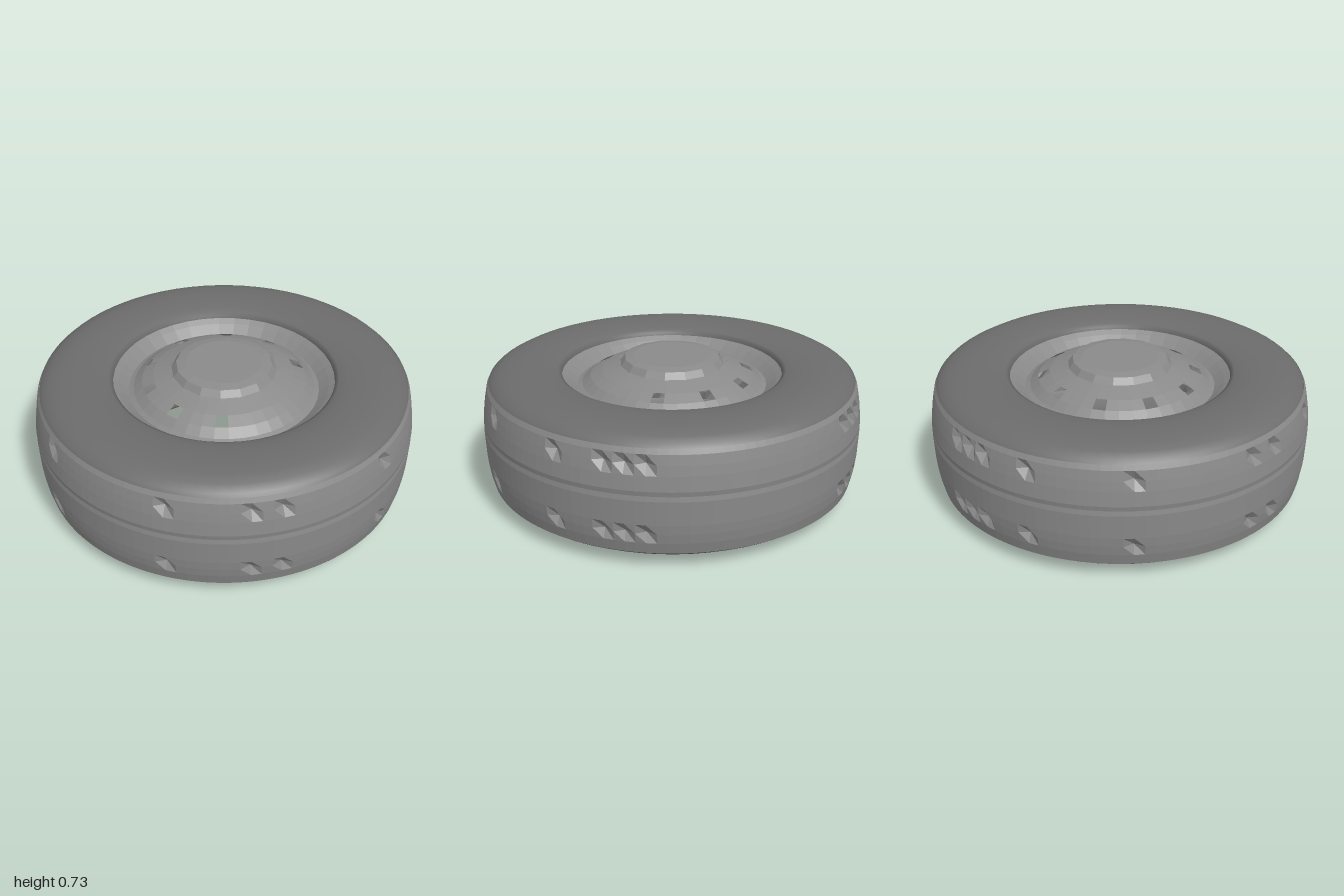
import * as THREE from 'three';

const grey = (color, flatShading) =>
  new THREE.MeshStandardMaterial({ color, flatShading, side: THREE.DoubleSide });
const rubber = grey(0x6c6c6c, false);
const treadRubber = grey(0x8a8a8a, true);
const metal = grey(0x8a8a8a, true);

const lathe = (points, segments, start = 0) =>
  new THREE.LatheGeometry(points.map(([r, y]) => new THREE.Vector2(r, y)), segments, start);

// Push lathe vertices in or out: depth(column, row) is added to the radius.
function dent(geometry, rows, segments, depth) {
  const p = geometry.attributes.position;
  for (let i = 0; i < p.count; i++) {
    const x = p.getX(i), z = p.getZ(i), r = Math.hypot(x, z);
    const k = (r + depth(Math.floor(i / rows) % segments, i % rows)) / r;
    p.setX(i, x * k);
    p.setZ(i, z * k);
  }
  geometry.computeVertexNormals();
  return geometry;
}

export function createModel() {
  const group = new THREE.Group();
  const add = (name, geometry, mat) => {
    const mesh = new THREE.Mesh(geometry, mat);
    mesh.name = name;
    group.add(mesh);
  };

  // Tread band: slightly bulged, worn almost smooth, with mirrored upright grooves
  const tread = [
    [0.965, 0.09], [0.98, 0.15], [0.988, 0.2], [0.993, 0.25], [0.998, 0.375], [0.998, 0.4],
    [0.998, 0.425], [0.99, 0.5], [0.982, 0.55], [0.972, 0.6], [0.96, 0.625],
  ];
  const columns = 120;
  const grooves = [7, 15, 18, 30, 40, 45, 47, 49];
  add('tread', dent(lathe(tread, columns), tread.length, columns, (c, row) => {
    if (row === 5) return -0.004;
    const grooved = grooves.includes(Math.min(c, columns - c));
    return grooved && (row === 2 || row === 8) ? -0.03 : 0;
  }), treadRubber);

  // Studded inner face of the tread
  const liner = [
    [0.955, 0.09], [0.95, 0.15], [0.955, 0.2], [0.955, 0.25], [0.955, 0.3], [0.955, 0.36],
    [0.94, 0.39], [0.955, 0.42], [0.955, 0.47], [0.955, 0.52], [0.945, 0.57], [0.945, 0.63],
  ];
  add('treadLining', dent(lathe(liner, columns), liner.length, columns, (c, row) =>
    ((c + row) % 3 === 0 && row % 6 !== 0 ? -0.022 : 0)), treadRubber);

  // Sidewalls, rolling inwards to the bead
  add('upperSidewall', lathe([
    [0.96, 0.62], [0.945, 0.64], [0.905, 0.662], [0.85, 0.676], [0.78, 0.682],
    [0.7, 0.68], [0.64, 0.672], [0.6, 0.662], [0.58, 0.65], [0.58, 0.61],
  ], 72), rubber);
  add('lowerSidewall', lathe([
    [0.58, 0.06], [0.6, 0.04], [0.65, 0.022], [0.72, 0.008], [0.78, 0],
    [0.83, 0.012], [0.9, 0.047], [0.945, 0.075], [0.965, 0.09],
  ], 72), rubber);

  // Wheel disc: sloping face with vent holes, valley and rim flange
  const disc = [
    [0.58, 0.635], [0.55, 0.615], [0.5, 0.575], [0.475, 0.585], [0.43, 0.622],
    [0.37, 0.652], [0.29, 0.68],
  ];
  const segments = 40;
  const discGeometry = lathe(disc, segments, -Math.PI / segments);
  const holes = [0, 4, 16, 20, 24, 28, 32, 36]; // two on the left side are blanked off
  const quads = disc.length - 1;
  const kept = Array.from(discGeometry.index.array).filter((_, n) => {
    const quad = Math.floor(n / 6);
    return !(quad % quads === 4 && holes.includes(Math.floor(quad / quads)));
  });
  discGeometry.setIndex(kept);
  add('wheelDisc', discGeometry, metal);

  // Hub cap
  add('hub', lathe([[0.295, 0.678], [0.275, 0.685], [0.25, 0.718], [0.2, 0.727], [0, 0.73]], 16, Math.PI / 16), metal);

  return group;
}
